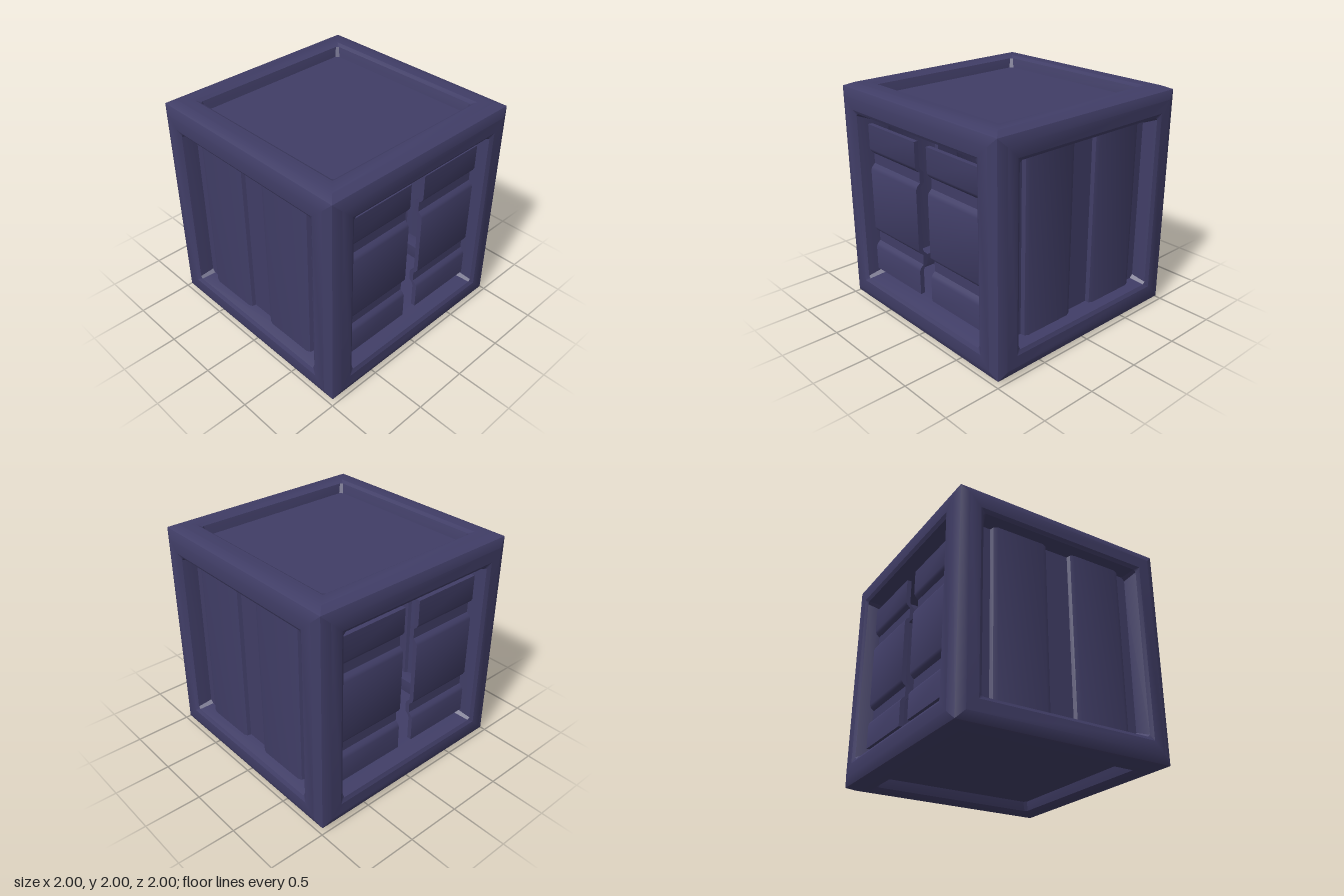
import * as THREE from 'three';
import { toCreasedNormals } from 'three/addons/utils/BufferGeometryUtils.js';

const HIGH = 0.905, LOW = 0.865, THICK = 0.04;

// Hollow cube frame: nested octagonal rings on each of the six faces,
// each ring given as [half size, height, corner cut].
function frameGeometry() {
  const rings = [
    [0.97, 0.97, 0], [0.9, 1, 0], [0.8, 1, 0],
    [0.77, 0.98, 0.02], [0.73, 0.85, 0.03], [0.73, 0.73, 0],
  ];
  const loop = ([s, h, c]) => {
    const i = s - c;
    return [[s, -i], [s, i], [i, s], [-i, s], [-s, i], [-s, -i], [-i, -s], [i, -s]]
      .map(([x, y]) => new THREE.Vector3(x, y, h));
  };
  const turns = [
    [0, 0], [0, Math.PI / 2], [0, Math.PI], [0, -Math.PI / 2],
    [Math.PI / 2, 0], [-Math.PI / 2, 0],
  ];
  const pos = [];
  const tri = (a, b, c) => {
    const area = b.clone().sub(a).cross(c.clone().sub(a)).length();
    if (area > 1e-7) [a, b, c].forEach((p) => pos.push(p.x, p.y, p.z));
  };
  for (const [rx, ry] of turns) {
    const m = new THREE.Matrix4().makeRotationFromEuler(new THREE.Euler(rx, ry, 0));
    const loops = rings.map((r) => loop(r).map((p) => p.applyMatrix4(m)));
    for (let k = 0; k < loops.length - 1; k++) {
      for (let j = 0; j < 8; j++) {
        const n = (j + 1) % 8;
        const a = loops[k][j], b = loops[k][n], c = loops[k + 1][n], d = loops[k + 1][j];
        tri(a, b, c);
        tri(a, c, d);
      }
    }
  }
  const g = new THREE.BufferGeometry();
  g.setAttribute('position', new THREE.Float32BufferAttribute(pos, 3));
  return toCreasedNormals(g, 0.55);
}

// Corrugated sheet: the outer line [across, height], offset inwards and extruded along z
function sheetGeometry(line, length) {
  const outer = line.map(([t, h]) => new THREE.Vector2(t, h));
  const inner = line.map(([t, h]) => new THREE.Vector2(t, h - THICK)).reverse();
  const g = new THREE.ExtrudeGeometry(new THREE.Shape([...outer, ...inner]),
    { depth: length, bevelEnabled: false });
  g.translate(0, 0, -length / 2);
  return toCreasedNormals(g, 0.6);
}

// Mirror the right half of a line to get the whole
const mirrored = (half) => [...half.map(([t, h]) => [-t, h]).reverse(), ...half];

export function createModel() {
  const model = new THREE.Group();
  const indigo = new THREE.MeshStandardMaterial({ color: 0x403d66 });
  indigo.name = 'indigo';

  const add = (geometry, name) => {
    const mesh = new THREE.Mesh(geometry, indigo);
    mesh.name = name;
    mesh.position.y = 1;
    model.add(mesh);
    return mesh;
  };

  add(frameGeometry(), 'frame');

  // Front and back walls with two upright ridges
  const wall = sheetGeometry(mirrored([
    [0.11, LOW], [0.125, HIGH - 0.012], [0.16, HIGH],
    [0.59, HIGH], [0.625, HIGH - 0.012], [0.64, LOW], [0.76, LOW],
  ]), 1.52);
  wall.rotateX(Math.PI / 2);
  add(wall, 'frontWall');
  add(wall, 'backWall').rotation.y = Math.PI;

  // Pairs of side doors with level ridges, parted by a gap
  const door = sheetGeometry(mirrored([
    [0.27, HIGH], [0.295, HIGH - 0.012], [0.32, LOW],
    [0.41, LOW], [0.435, HIGH - 0.012], [0.46, HIGH], [0.675, HIGH],
  ]), 0.645);
  door.rotateZ(-Math.PI / 2);
  for (const side of [1, -1]) {
    for (const end of [1, -1]) {
      const mesh = add(door, `${side > 0 ? 'left' : 'right'}${end > 0 ? 'Front' : 'Back'}Door`);
      mesh.rotation.y = side > 0 ? 0 : Math.PI;
      mesh.position.z = end * 0.4;
    }
  }

  // Flat recessed roof and floor
  for (const side of [1, -1]) {
    const plate = add(new THREE.BoxGeometry(1.52, THICK, 1.52), side > 0 ? 'roof' : 'floor');
    plate.position.y = 1 + side * (0.9 - THICK / 2);
  }
  return model;
}
